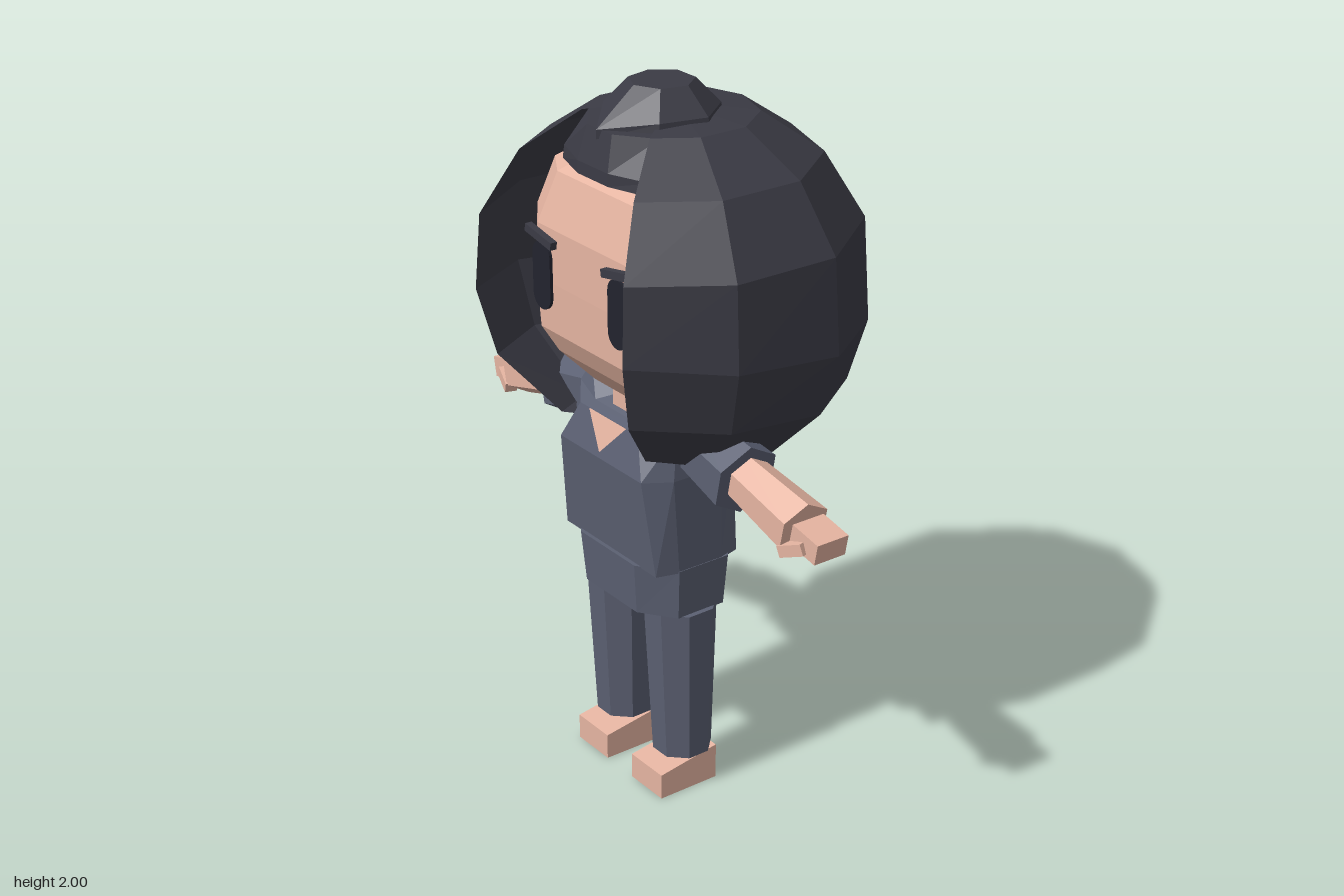
import * as THREE from 'three';

const mat = (name, color, side = THREE.FrontSide) => {
  const m = new THREE.MeshStandardMaterial({ color, side });
  m.name = name;
  return m;
};

// Faceted surface through rings listed bottom to top, each running front -> +x -> back -> -x
function loft(rings, closed = true) {
  const n = rings[0].length, pos = [];
  const tri = (a, b, c) => pos.push(...a, ...b, ...c);
  const mid = (r) => [0, 1, 2].map((k) => r.reduce((s, p) => s + p[k], 0) / n);
  const last = closed ? n : n - 1;
  for (let j = 0; j < rings.length - 1; j++) {
    for (let i = 0; i < last; i++) {
      const k = (i + 1) % n, a = rings[j], b = rings[j + 1];
      tri(a[i], a[k], b[k]);
      tri(a[i], b[k], b[i]);
    }
  }
  const lo = rings[0], hi = rings[rings.length - 1], cl = mid(lo), ch = mid(hi);
  for (let i = 0; i < last; i++) {
    const k = (i + 1) % n;
    tri(cl, lo[k], lo[i]);
    tri(ch, hi[i], hi[k]);
  }
  const g = new THREE.BufferGeometry();
  g.setAttribute('position', new THREE.Float32BufferAttribute(pos, 3));
  g.computeVertexNormals();
  return g;
}

// Completes a half outline by mirroring it over x
const mirrorRing = (half) => [...half, ...half.slice().reverse().map(([x, y, z]) => [-x, y, z])];

// Eight-sided ring with a flat front and back
const octagon = (y, w, zf, zb, k = 0.72, yBack = y) => {
  const d = (zf - zb) * 0.24;
  return mirrorRing([[w * k, y, zf], [w, yBack, zf - d], [w, yBack, zb + d], [w * k, yBack, zb]]);
};

const flat = (g) => {
  const f = g.index ? g.toNonIndexed() : g;
  f.computeVertexNormals();
  return f;
};

// Tapered prism between two points
function limb(a, b, r0, r1, sides, depth = 1) {
  const p = new THREE.Vector3(...a), q = new THREE.Vector3(...b), dir = q.clone().sub(p);
  const g = new THREE.CylinderGeometry(r1, r0, dir.length(), sides);
  g.rotateY(Math.PI / sides);
  g.scale(1, 1, depth);
  g.applyQuaternion(new THREE.Quaternion().setFromUnitVectors(new THREE.Vector3(0, 1, 0), dir.normalize()));
  g.translate(...p.add(q).multiplyScalar(0.5).toArray());
  return flat(g);
}

export function createModel() {
  const model = new THREE.Group();
  const skin = mat('skin', 0xe5b4a1);
  const cloth = mat('slate cloth', 0x5b6072);
  const hair = mat('dark hair', 0x3b3b45, THREE.DoubleSide);
  const ink = mat('eye black', 0x22232e);
  const add = (name, geo, material, parent = model) => {
    const m = new THREE.Mesh(geo, material);
    m.name = name;
    parent.add(m);
    return m;
  };

  // Head: flat-faced faceted ball, rows of [y, width scale, front z, back z]
  const headRows = [
    [1.17, 0.5, 0.24, -0.1], [1.25, 0.8, 0.31, -0.2], [1.32, 0.94, 0.345, -0.27],
    [1.46, 1, 0.348, -0.32], [1.61, 0.97, 0.345, -0.3], [1.75, 0.82, 0.3, -0.2], [1.81, 0.58, 0.2, -0.08],
  ];
  add('head', loft(headRows.map(([y, s, zf, zb]) => {
    const z = (t) => zb + (zf - zb) * t;
    return mirrorRing([[0.21 * s, y, z(1)], [0.34 * s, y, z(0.87)], [0.4 * s, y, z(0.6)],
      [0.35 * s, y, z(0.25)], [0.17 * s, y, z(0)]]);
  })), skin);

  // Hair: ten-sided shell with its front column left open
  const angles = [40, 72, 108, 144, 180, 216, 252, 288, 320].map(THREE.MathUtils.degToRad);
  const hairRows = [ // y, radius, forward tilt
    [1.02, 0.3, 0.045], [1.19, 0.47, 0.04], [1.37, 0.522, 0.05], [1.62, 0.505, 0],
    [1.8, 0.395, 0], [1.91, 0.23, 0], [1.93, 0.06, 0],
  ];
  add('hair', loft(hairRows.map(([y, r, t]) => angles.map((a) =>
    [r * Math.sin(a), y + t * Math.cos(a), 0.06 + r * Math.cos(a)])), false), hair);

  // Crown knot and the fringe hanging from it
  const knot = (y, r, front) => Array.from({ length: 7 }, (_, i) => {
    const a = (i / 7) * Math.PI * 2;
    return [r * Math.sin(a), i ? y : front[0], i ? 0.09 + r * Math.cos(a) : front[1]];
  });
  add('crownKnot', loft([knot(1.89, 0.16, [1.88, 0.295]), knot(1.93, 0.155, [1.905, 0.295]),
    knot(2, 0.088, [2, 0.178])]), hair);
  const fringe = (y, x, zf, zs, zb) => mirrorRing([[x * 0.35, y, zf], [x, y, zs], [x * 0.9, y, zb]]);
  add('fringe', loft([fringe(1.775, 0.19, 0.308, 0.27, 0.15), fringe(1.81, 0.19, 0.308, 0.265, 0.12),
    fringe(1.905, 0.155, 0.285, 0.21, 0.08)]), hair);

  // Eyes and brows
  const pill = new THREE.Shape();
  pill.absarc(0, 0.055, 0.04, 0, Math.PI);
  pill.absarc(0, -0.055, 0.04, Math.PI, Math.PI * 2);
  const eyeGeo = flat(new THREE.ExtrudeGeometry(pill, { depth: 0.009, bevelEnabled: false, curveSegments: 6 }));
  for (const s of [1, -1]) {
    add('eye', eyeGeo, ink).position.set(s * 0.17, 1.475, 0.35);
    const brow = add('brow', new THREE.BoxGeometry(0.12, 0.022, 0.02), hair);
    brow.position.set(s * 0.172, 1.583, 0.357);
    brow.rotation.z = s * 0.18;
  }

  // Neck and the bare skin in the neckline
  add('neck', limb([0, 1.05, 0.13], [0, 1.22, 0.13], 0.105, 0.105, 8), skin);
  const vee = new THREE.BufferGeometry();
  vee.setAttribute('position', new THREE.Float32BufferAttribute(
    [-0.085, 1.102, 0.274, 0, 1.01, 0.303, 0.085, 1.102, 0.274], 3));
  vee.computeVertexNormals();
  add('neckline', vee, skin);

  // Shirt body with square lower corners, over a chamfered hem
  add('shirt', loft([octagon(0.71, 0.226, 0.27, 0.0, 0.92), octagon(0.99, 0.232, 0.3, -0.005, 0.8),
    octagon(1.1, 0.22, 0.27, 0.01, 0.6, 1.12), octagon(1.11, 0.19, 0.24, 0.03, 0.55, 1.18)]), cloth);
  add('hem', loft([octagon(0.565, 0.215, 0.27, -0.02, 0.55), octagon(0.715, 0.228, 0.282, -0.032, 0.55)]), cloth);

  // Arms and legs, built on the left and mirrored
  for (const s of [1, -1]) {
    const arm = new THREE.Group();
    arm.name = s > 0 ? 'leftArm' : 'rightArm';
    arm.scale.x = s;
    model.add(arm);
    add('sleeve', limb([0.17, 1.085, 0.125], [0.405, 1.035, 0.125], 0.085, 0.103, 6), cloth, arm);
    add('forearm', limb([0.36, 1.05, 0.12], [0.635, 0.988, 0.12], 0.062, 0.077, 6, 1.05), skin, arm);
    const hand = add('hand', new THREE.BoxGeometry(0.13, 0.06, 0.1), skin, arm);
    hand.position.set(0.67, 0.978, 0.11);
    hand.rotation.z = -0.2;
    const thumb = add('thumb', new THREE.BoxGeometry(0.075, 0.032, 0.035), skin, arm);
    thumb.position.set(0.655, 0.955, 0.168);
    thumb.rotation.set(0, 0.3, 0.35);

    const leg = new THREE.Group();
    leg.name = s > 0 ? 'leftLeg' : 'rightLeg';
    leg.scale.x = s;
    model.add(leg);
    add('trouserLeg', limb([0.135, 0.105, 0.13], [0.135, 0.567, 0.135], 0.084, 0.103, 8), cloth, leg);
    const footGeo = new THREE.BoxGeometry(0.14, 0.105, 0.19).translate(0.13, 0.0525, 0.155);
    const p = footGeo.attributes.position;
    for (let i = 0; i < p.count; i++) if (p.getY(i) > 0.05 && p.getZ(i) > 0.15) p.setY(i, 0.075);
    add('foot', flat(footGeo), skin, leg);
  }
  return model;
}
